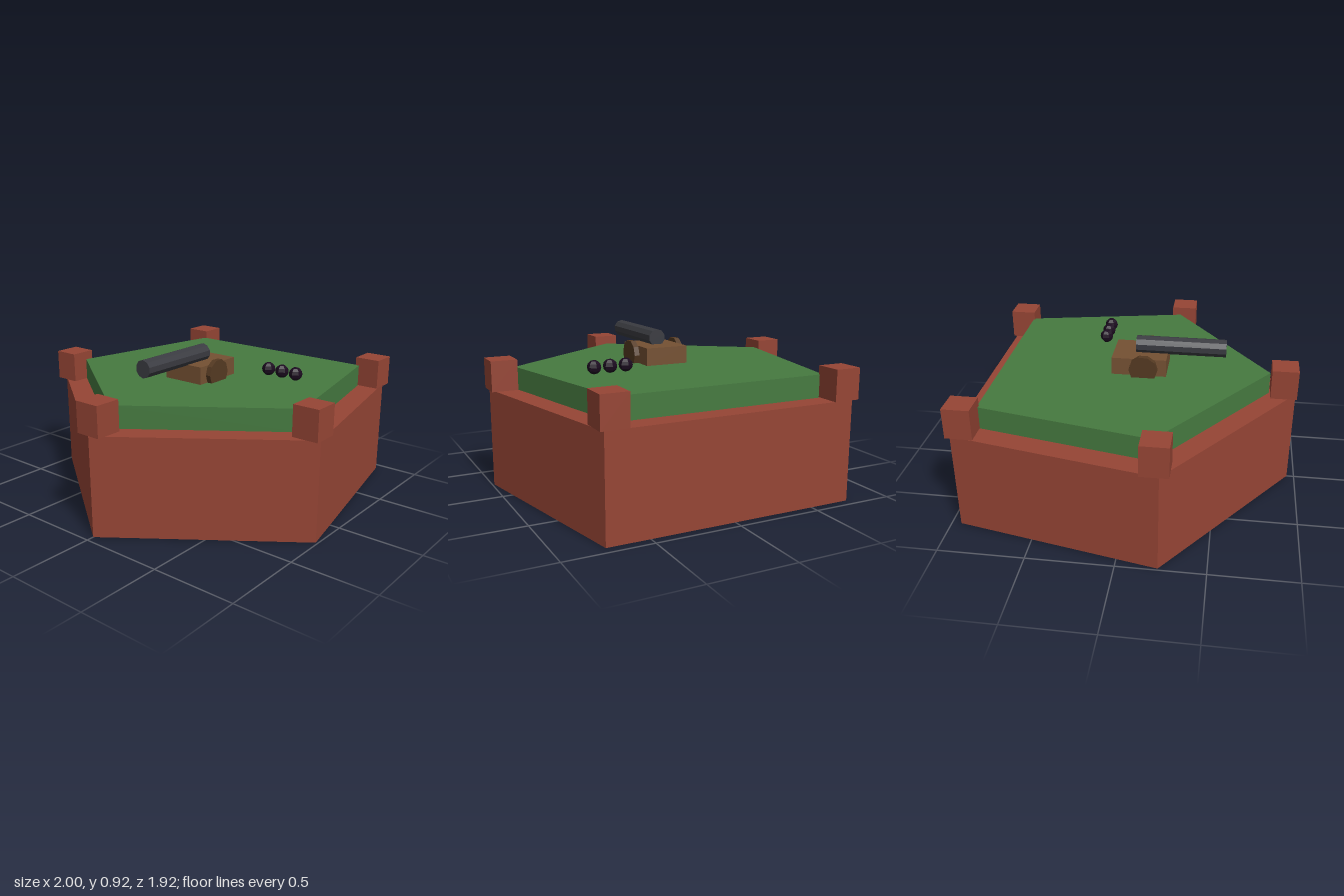
import * as THREE from 'three';

const material = (name, color) => {
  const m = new THREE.MeshStandardMaterial({ color, flatShading: true });
  m.name = name;
  return m;
};

export function createModel() {
  const brick = material('red brick', 0x964535);
  const grass = material('grass green', 0x467a40);
  const wood = material('carriage wood', 0x755133);
  const darkWood = material('wheel wood', 0x553a22);
  const iron = material('barrel iron', 0x3a3b41);
  const shot = material('dark shot', 0x1c0c20);

  const model = new THREE.Group();
  model.name = 'bastion';

  const add = (name, geometry, mat, x, y, z, parent = model) => {
    const mesh = new THREE.Mesh(geometry, mat);
    mesh.name = name;
    mesh.position.set(x, y, z);
    parent.add(mesh);
    return mesh;
  };

  // Upright prism over a symmetric pentagon given by front, side and back corners
  const pentagon = (front, [sx, sz], [bx, bz], depth) => {
    const corners = [[0, front], [sx, sz], [bx, bz], [-bx, bz], [-sx, sz]];
    const shape = new THREE.Shape(corners.map(([x, z]) => new THREE.Vector2(x, -z)));
    return new THREE.ExtrudeGeometry(shape, { depth, bevelEnabled: false }).rotateX(-Math.PI / 2);
  };

  // Brick walls and raised grass deck
  add('walls', pentagon(0.955, [0.988, 0.235], [0.747, -0.945], 0.592), brick, 0, 0, 0);
  add('grassDeck', pentagon(0.795, [0.843, 0.185], [0.638, -0.815], 0.133), grass, 0, 0.592, 0);

  // Corner turrets
  const turret = new THREE.BoxGeometry(0.157, 0.181, 0.157);
  for (const [x, z] of [[0, 0.88], [0.921, 0.21], [-0.921, 0.21], [0.696, -0.885], [-0.696, -0.885]]) {
    add('turret', turret, brick, x, 0.686, z);
  }

  // Cannon on its carriage
  const cannon = new THREE.Group();
  cannon.name = 'cannon';
  model.add(cannon);
  add('carriage', new THREE.BoxGeometry(0.266, 0.106, 0.324), wood, 0, 0.777, 0.018, cannon);
  const wheel = new THREE.CylinderGeometry(0.085, 0.085, 0.032, 10).rotateZ(Math.PI / 2);
  for (const side of [-1, 1]) add('wheel', wheel, darkWood, side * 0.149, 0.773, 0.046, cannon);
  const barrel = new THREE.CylinderGeometry(0.053, 0.053, 0.535, 10).rotateX(Math.PI / 2);
  add('barrel', barrel, iron, 0, 0.869, 0.258, cannon);

  // Row of cannonballs
  const ball = new THREE.SphereGeometry(0.041, 6, 6).rotateY(Math.PI / 2);
  for (let i = 0; i < 3; i++) add('cannonball', ball, shot, 0.32 + i * 0.097, 0.767, -0.25);

  return model;
}
